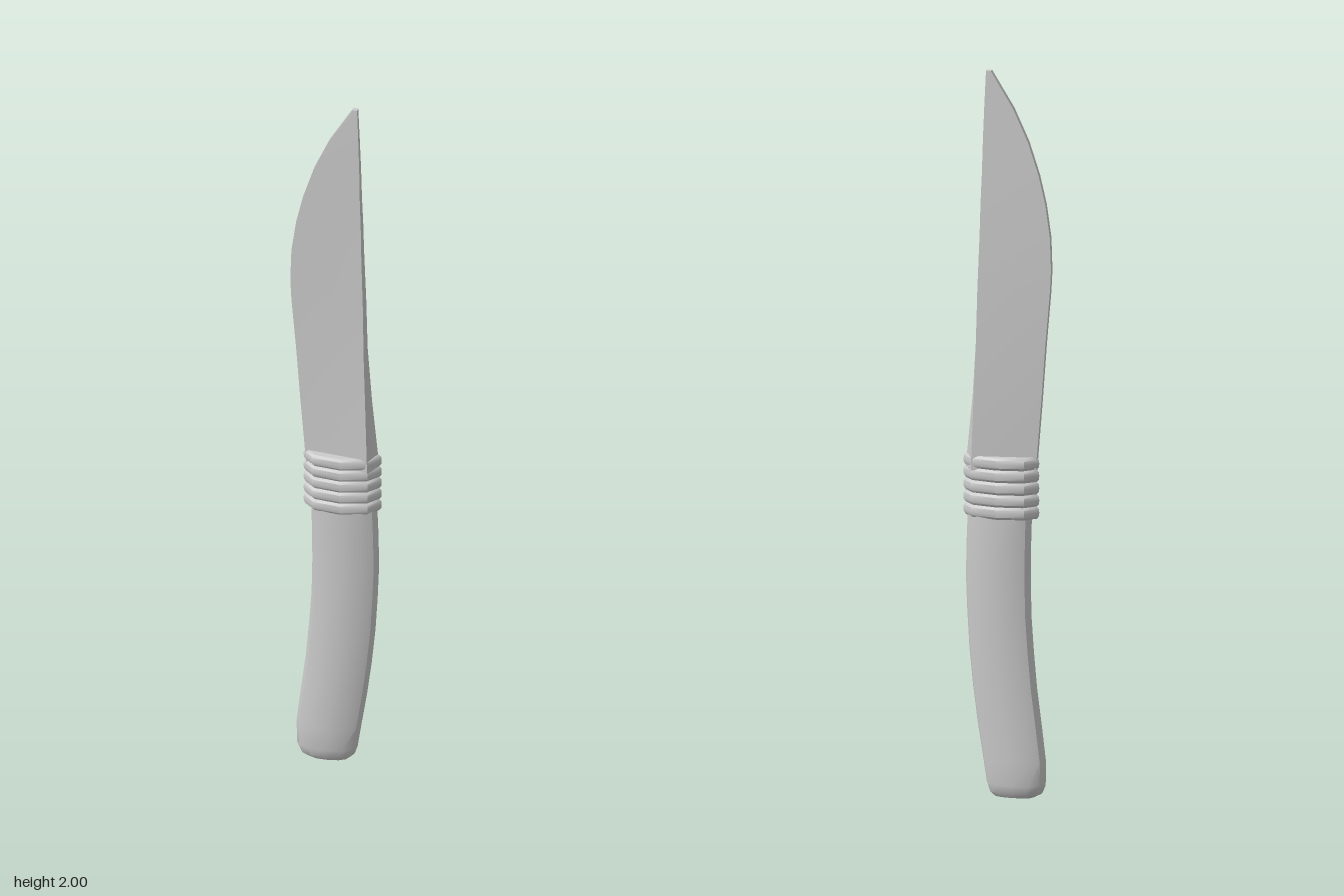
import * as THREE from 'three';
import { toCreasedNormals } from 'three/addons/utils/BufferGeometryUtils.js';

// Skin a stack of equal-length cross-sections, bottom to top, with end caps.
function loft(name, sections, crease) {
  const n = sections[0].length, index = [];
  for (let r = 0; r < sections.length - 1; r++) {
    for (let i = 0; i < n; i++) {
      const a = r * n + i, b = r * n + (i + 1) % n;
      index.push(a, a + n, b, b, a + n, b + n);
    }
  }
  const top = (sections.length - 1) * n;
  for (let i = 1; i < n - 1; i++) {
    index.push(0, i, i + 1, top, top + i + 1, top + i);
  }
  const geo = new THREE.BufferGeometry();
  geo.setAttribute('position', new THREE.Float32BufferAttribute(sections.flat(2), 3));
  geo.setIndex(index);
  const mesh = new THREE.Mesh(
    toCreasedNormals(geo, crease),
    new THREE.MeshStandardMaterial({ color: 0xcccccc })
  );
  mesh.name = name;
  return mesh;
}

// Oval section between two x limits; power < 1 squares it off.
function oval(y, left, right, depth, sides, power = 1) {
  const cx = (left + right) / 2, rx = (right - left) / 2;
  const bend = (v) => Math.sign(v) * Math.pow(Math.abs(v), power);
  return Array.from({ length: sides }, (_, i) => {
    const a = (i / sides) * Math.PI * 2;
    return [cx + rx * bend(Math.cos(a)), y, depth * bend(Math.sin(a))];
  });
}

export function createModel() {
  const group = new THREE.Group();
  group.name = 'knife';

  // Curved handle with a rounded butt: y, left x, right x, half depth
  const handle = [
    [0, -0.075, 0.035, 0.028], [0.012, -0.098, 0.05, 0.037], [0.035, -0.108, 0.058, 0.042],
    [0.1, -0.109, 0.068, 0.043], [0.2, -0.097, 0.084, 0.043], [0.3, -0.084, 0.097, 0.043],
    [0.4, -0.075, 0.107, 0.043], [0.5, -0.068, 0.113, 0.043], [0.6, -0.066, 0.117, 0.043],
    [0.7, -0.067, 0.115, 0.043], [0.8, -0.07, 0.111, 0.043],
  ];
  group.add(loft('handle', handle.map(([y, l, r, d]) => oval(y, l, r, d, 12, 0.85)), 0.7));

  // Five stacked binding cords, each with a bulging rim
  const binding = new THREE.Group();
  binding.name = 'binding';
  const cordHeight = 0.034;
  for (let c = 0; c < 5; c++) {
    const rim = [[0, 0.007], [0.2, 0.001], [0.5, 0], [0.8, 0.001], [1, 0.007]];
    binding.add(loft('bindingCord' + (c + 1), rim.map(([t, inset]) =>
      oval(0.77 + (c + t) * cordHeight, -0.09 + inset, 0.124 - inset, 0.052 - inset, 8)), 0.6));
  }
  group.add(binding);

  // Wedge blade: y, cutting edge x, shoulder x, spine ridge x
  const blade = [
    [0.9, -0.082, 0.091, 0.118], [0.94, -0.085, 0.09, 0.114], [1.1, -0.098, 0.085, 0.098],
    [1.25, -0.109, 0.08, 0.085], [1.4, -0.122, 0.077, 0.081], [1.46, -0.125, 0.075, 0.079],
    [1.55, -0.122, 0.072, 0.076], [1.64, -0.109, 0.07, 0.073], [1.72, -0.09, 0.067, 0.07],
    [1.81, -0.06, 0.065, 0.067], [1.9, -0.018, 0.062, 0.064], [2, 0.045, 0.058, 0.06],
  ];
  group.add(loft('blade', blade.map(([y, edge, shoulder, ridge]) => {
    const t = THREE.MathUtils.mapLinear(y, 0.94, 2, 0.038, 0.008);
    return [[ridge, y, 0], [shoulder, y, t], [edge, y, 0.007], [edge, y, -0.007], [shoulder, y, -t]];
  }), 0.35));

  return group;
}
